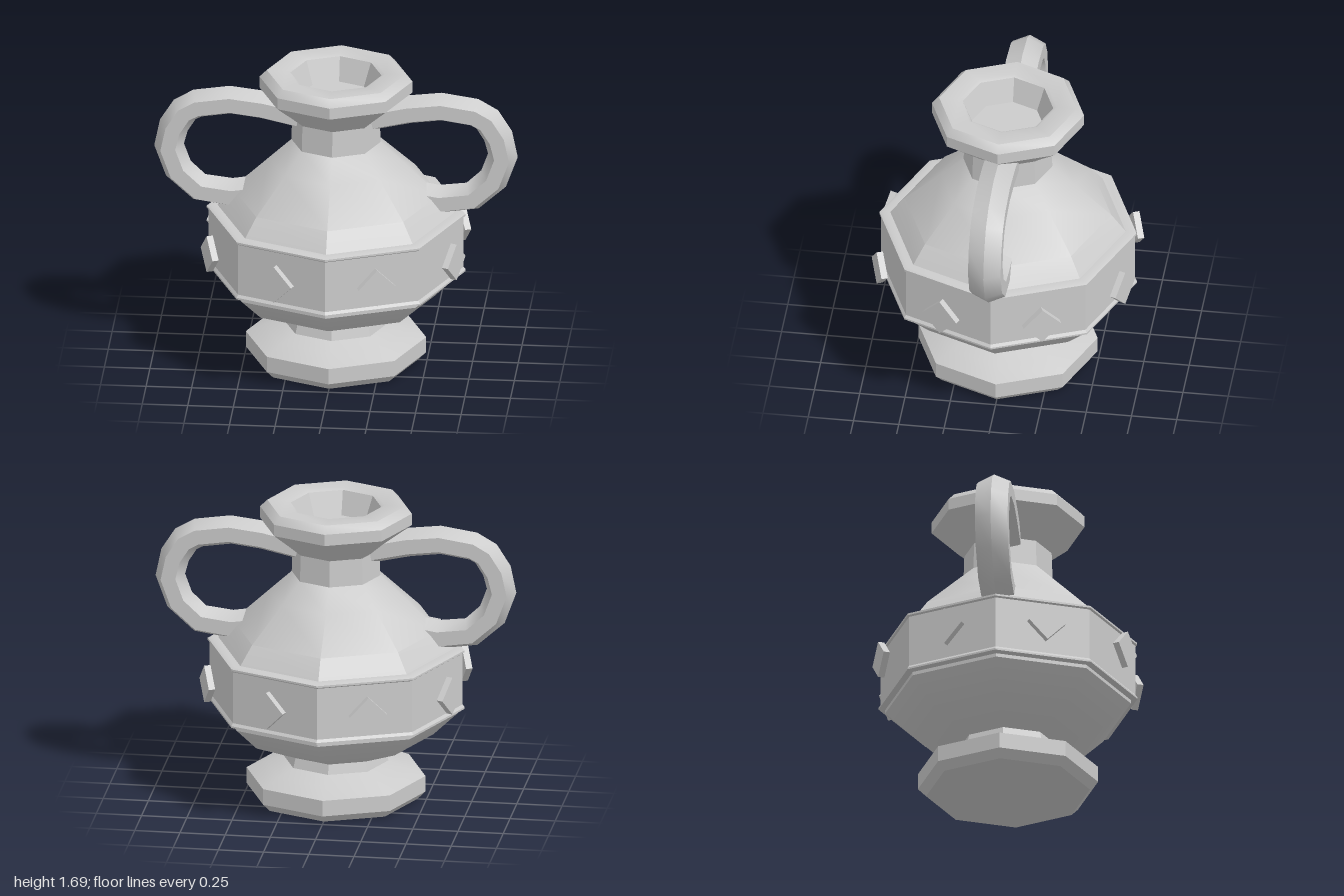
import * as THREE from 'three';
import { toCreasedNormals } from 'three/addons/utils/BufferGeometryUtils.js';

const material = new THREE.MeshStandardMaterial({ color: 0xcccccc });
const CREASE = 0.6;
const SIDES = 8;

function addMesh(parent, name, geometry) {
  const mesh = new THREE.Mesh(toCreasedNormals(geometry, CREASE), material);
  mesh.name = name;
  parent.add(mesh);
  return mesh;
}

// Octagonal turned shape from [radius, height] pairs, bottom to top
function turned(profile) {
  return new THREE.LatheGeometry(profile.map(([r, y]) => new THREE.Vector2(r, y)), SIDES);
}

// Hexagonal bar swept along a path in the xy plane
function sweptBar(path, halfThick, halfWidth) {
  const pts = path.map(([x, y]) => new THREE.Vector2(x, y));
  const n = 6;
  const section = [[1, 0], [0.5, 1], [-0.5, 1], [-1, 0], [-0.5, -1], [0.5, -1]];
  const positions = [];
  const index = [];
  pts.forEach((p, i) => {
    const before = pts[Math.max(i - 1, 0)];
    const after = pts[Math.min(i + 1, pts.length - 1)];
    const t = after.clone().sub(before).normalize();
    // outward normal of the loop, left of the travel direction
    for (const [a, b] of section) {
      positions.push(p.x - t.y * a * halfThick, p.y + t.x * a * halfThick, b * halfWidth);
    }
    if (i === 0) return;
    for (let k = 0; k < n; k++) {
      const a = (i - 1) * n + k;
      const b = (i - 1) * n + (k + 1) % n;
      index.push(a, b, a + n, b, b + n, a + n);
    }
  });
  // end caps
  const last = (pts.length - 1) * n;
  for (let k = 1; k < n - 1; k++) {
    index.push(0, k + 1, k, last, last + k, last + k + 1);
  }
  const geometry = new THREE.BufferGeometry();
  geometry.setAttribute('position', new THREE.Float32BufferAttribute(positions, 3));
  geometry.setIndex(index);
  return geometry;
}

export function createModel() {
  const vase = new THREE.Group();
  vase.name = 'vase';

  // Foot with its short stem
  addMesh(vase, 'foot', turned([
    [0, 0], [0.45, 0], [0.495, 0.045], [0.495, 0.135],
    [0.39, 0.18], [0.29, 0.215], [0.275, 0.27],
  ]));

  // Belly: lower bowl, raised band between two thin beads, shoulder
  addMesh(vase, 'belly', turned([
    [0.275, 0.27], [0.54, 0.38], [0.675, 0.51], [0.675, 0.53],
    [0.712, 0.535], [0.712, 0.545], [0.7, 0.56],
    [0.7, 0.855], [0.71, 0.862], [0.71, 0.873], [0.69, 0.88],
    [0.65, 0.88], [0.57, 0.985], [0.37, 1.17], [0.245, 1.285],
  ]));

  // Neck
  addMesh(vase, 'neck', turned([[0.245, 1.285], [0.24, 1.435]]));

  // Flared rim and the shallow hollow of the mouth
  addMesh(vase, 'rim', turned([
    [0.24, 1.435], [0.31, 1.495], [0.42, 1.585], [0.42, 1.65], [0.38, 1.69],
    [0.27, 1.69], [0.25, 1.68], [0.2, 1.55], [0, 1.55],
  ]));

  // Two looped handles, from shoulder up to neck
  const handlePath = [
    [0.47, 0.975], [0.57, 0.96], [0.75, 0.985], [0.865, 1.09], [0.916, 1.23],
    [0.89, 1.345], [0.83, 1.44], [0.76, 1.48], [0.58, 1.507], [0.4, 1.485], [0.2, 1.44],
  ].reverse();
  const handleGeometry = sweptBar(handlePath, 0.082, 0.09);
  addMesh(vase, 'leftHandle', handleGeometry);
  addMesh(vase, 'rightHandle', handleGeometry).rotation.y = Math.PI;

  // A diamond stud in front of each face of the band
  const studs = new THREE.Group();
  studs.name = 'studs';
  for (let i = 0; i < SIDES; i++) {
    const pivot = new THREE.Group();
    pivot.name = 'studPivot';
    pivot.rotation.y = (i + 0.5) * Math.PI * 2 / SIDES;
    const stud = addMesh(pivot, 'stud', new THREE.BoxGeometry(0.15, 0.15, 0.036));
    stud.position.set(0, 0.705, 0.725);
    stud.rotation.z = Math.PI / 4;
    studs.add(pivot);
  }
  vase.add(studs);

  return vase;
}
